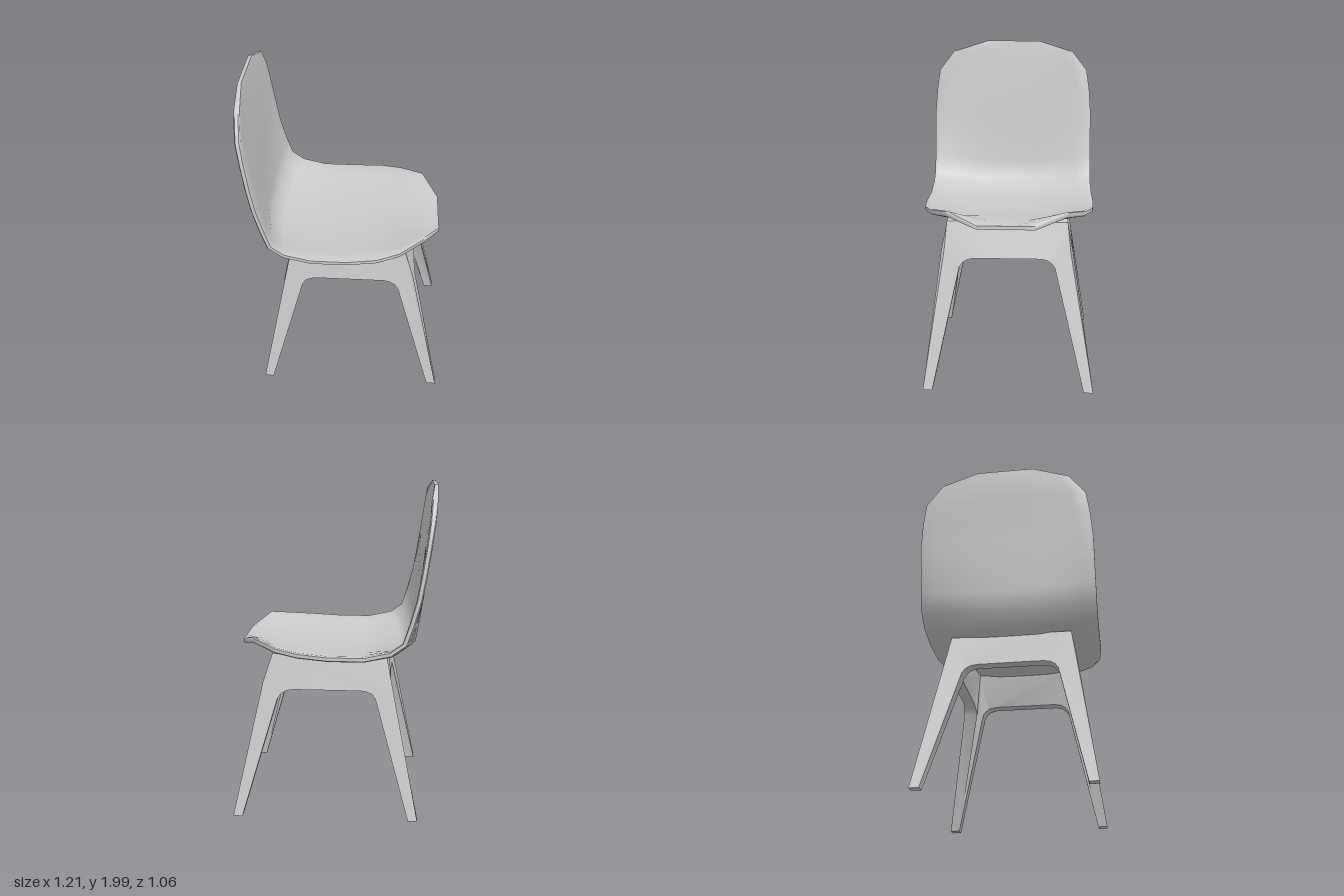
import * as THREE from 'three';
import { mergeGeometries, toCreasedNormals } from 'three/addons/utils/BufferGeometryUtils.js';

const material = new THREE.MeshStandardMaterial({ color: 0xcccccc });

// Piecewise linear function through [y, value] pairs
const ramp = (...keys) => (y) => {
  let i = 0;
  while (i < keys.length - 2 && y > keys[i + 1][0]) i++;
  const [y0, v0] = keys[i], [y1, v1] = keys[i + 1];
  return v0 + (v1 - v0) * (y - y0) / (y1 - y0);
};

// Shell stations from backrest top to seat front:
// centre x, centre y, rim x, rim y, half width
const stations = [
  [-0.597, 1.993, -0.597, 1.993, 0.18],
  [-0.592, 1.935, -0.58, 1.925, 0.4],
  [-0.578, 1.8, -0.568, 1.8, 0.5],
  [-0.558, 1.67, -0.551, 1.67, 0.52],
  [-0.542, 1.5, -0.527, 1.51, 0.532],
  [-0.528, 1.34, -0.503, 1.37, 0.532],
  [-0.505, 1.18, -0.465, 1.23, 0.532],
  [-0.485, 1.055, -0.427, 1.115, 0.532],
  [-0.41, 0.997, -0.345, 1.055, 0.532],
  [-0.17, 0.98, -0.19, 1.02, 0.532],
  [0.02, 0.983, 0.02, 1.02, 0.532],
  [0.2, 0.99, 0.2, 1.033, 0.517],
  [0.33, 1.006, 0.33, 1.049, 0.47],
  [0.46, 1.02, 0.475, 1.08, 0.36],
  [0.572, 1.025, 0.572, 1.025, 0.175],
];

function shellGeometry() {
  const cols = [-1, -0.97, -0.83, -0.67, -0.34, 0, 0.34, 0.67, 0.83, 0.97, 1];
  const n = cols.length, ring = n * 2, last = stations.length - 1;
  const positions = [], index = [];
  const quad = (a, b, c, d) => index.push(a, b, c, a, c, d);

  stations.forEach(([cx, cy, rx, ry, w], i) => {
    const p = stations[Math.max(i - 1, 0)], q = stations[Math.min(i + 1, last)];
    const normal = new THREE.Vector2(p[1] - q[1], q[0] - p[0]).normalize();
    const half = i === 0 || i === last ? 0.011 : 0.017;
    const add = (t, side) => {
      // flat middle, sides curling towards the sitter
      const f = Math.max(0, (Math.abs(t) - 0.3) / 0.7) ** 1.2;
      const h = side * half * (Math.abs(t) === 1 ? 0.6 : 1);
      positions.push(cx + (rx - cx) * f + normal.x * h, cy + (ry - cy) * f + normal.y * h, w * t);
    };
    cols.forEach((t) => add(t, 1));
    [...cols].reverse().forEach((t) => add(t, -1));
  });

  for (let i = 0; i < last; i++) {
    for (let j = 0; j < ring; j++) {
      const k = (j + 1) % ring, a = i * ring, b = a + ring;
      quad(a + j, a + k, b + k, b + j);
    }
  }
  // end strips
  for (let j = 0; j < n - 1; j++) {
    const e = last * ring, under = ring - 1 - j;
    quad(j, under, under - 1, j + 1);
    quad(e + j, e + j + 1, e + under - 1, e + under);
  }
  const geometry = new THREE.BufferGeometry();
  geometry.setAttribute('position', new THREE.Float32BufferAttribute(positions, 3));
  geometry.setIndex(index);
  return toCreasedNormals(geometry, 0.9);
}

// Outer faces of the splayed frame and its wall thickness, by height
const rear = ramp([0, -0.525], [0.83, -0.343], [1, -0.325]);
const front = ramp([0, 0.605], [0.83, 0.422], [1, 0.365]);
const left = ramp([0, -0.525], [0.83, -0.395], [1, -0.362]);
const right = ramp([0, 0.505], [0.83, 0.395], [1, 0.365]);
const wall = ramp([0, 0.058], [0.72, 0.09], [0.8, 0.065], [1, 0.06]);

// One mitred, arched side of the frame: an apron with half of two legs
function panel(lo, hi, out, sign, alongZ, topLo, topHi, arch) {
  const outline = [
    [lo(0), 0], [lo(0) + 0.057, 0], ...arch, [hi(0) - 0.057, 0], [hi(0), 0],
    [hi(0.83), 0.83], [hi(topHi), topHi], [lo(topLo), topLo], [lo(0.83), 0.83],
  ].map(([u, y]) => new THREE.Vector2(u, y));
  const geometry = new THREE.ExtrudeGeometry(new THREE.Shape(outline), { depth: 1, bevelEnabled: false });
  const pos = geometry.attributes.position;
  const flip = (sign < 0) !== alongZ;
  const points = [];
  for (let i = 0; i < pos.count; i++) {
    const y = pos.getY(i), d = wall(y), outer = pos.getZ(i) > 0.5;
    let u = pos.getX(i);
    if (!outer) u = Math.min(Math.max(u, lo(y) + d), hi(y) - d);
    const v = out(y) - (outer ? 0 : sign * d);
    points.push(alongZ ? [v, y, u] : [u, y, v]);
  }
  const flat = [];
  for (let i = 0; i < points.length; i += 3) {
    const [a, b, c] = points.slice(i, i + 3);
    flat.push(...a, ...(flip ? [...c, ...b] : [...b, ...c]));
  }
  const result = new THREE.BufferGeometry();
  result.setAttribute('position', new THREE.Float32BufferAttribute(flat, 3));
  return result;
}

function frameGeometry() {
  const sideArch = [[-0.26, 0.74], [-0.24, 0.768], [-0.21, 0.782], [-0.17, 0.788],
    [0.24, 0.788], [0.28, 0.78], [0.31, 0.762], [0.333, 0.73]];
  const half = [[0.2, 0.788], [0.24, 0.78], [0.268, 0.762], [0.287, 0.735]];
  const endArch = [...half.map(([u, y]) => [-u, y]).reverse(), ...half];
  return toCreasedNormals(mergeGeometries([
    panel(rear, front, right, 1, false, 0.985, 1, sideArch),
    panel(rear, front, left, -1, false, 0.985, 1, sideArch),
    panel(left, right, front, 1, true, 1, 1, endArch),
    panel(left, right, rear, -1, true, 0.985, 0.985, endArch),
  ]), 0.6);
}

export function createModel() {
  const group = new THREE.Group();
  group.name = 'chair';
  const add = (name, geometry) => {
    const mesh = new THREE.Mesh(geometry, material);
    mesh.name = name;
    group.add(mesh);
  };
  add('seatShell', shellGeometry());
  add('legFrame', frameGeometry());
  return group;
}
